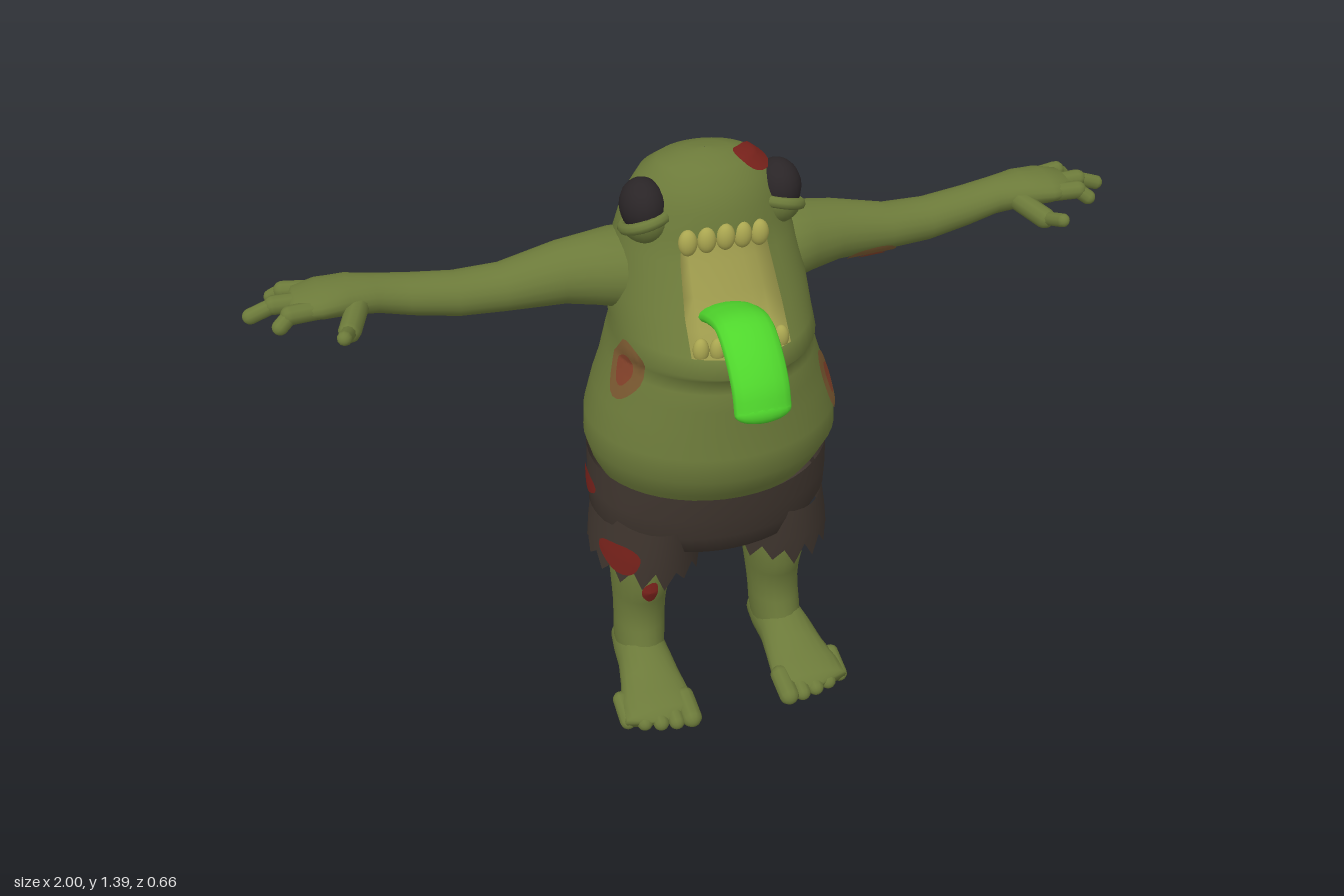
import * as THREE from 'three';

const mat = (name, color, side = THREE.FrontSide) => {
  const m = new THREE.MeshStandardMaterial({ color, side });
  m.name = name;
  return m;
};

// Surface through elliptical sections [t, centreA, centreB, radiusA, radiusB] along an axis
const AXES = {
  x: (t, a, b) => new THREE.Vector3(t, b, a),
  y: (t, a, b) => new THREE.Vector3(a, t, b),
  z: (t, a, b) => new THREE.Vector3(b, a, t),
};
function surface(axis, keys) {
  return (theta, t) => {
    let i = 0;
    while (i < keys.length - 2 && t >= keys[i + 1][0]) i++;
    const f = (t - keys[i][0]) / (keys[i + 1][0] - keys[i][0]);
    const [, ca, cb, ra, rb] = keys[i].map((k, n) => k + (keys[i + 1][n] - k) * f);
    return AXES[axis](t, ca + ra * Math.sin(theta), cb + rb * Math.cos(theta));
  };
}

function toGeometry(points, index) {
  const g = new THREE.BufferGeometry().setFromPoints(points);
  g.setIndex(index);
  g.computeVertexNormals();
  return g;
}

// Closed rings joined into a skin; shift moves points along the axis, skip leaves holes
function loft(P, rows, n, { shift = () => 0, skip = () => false } = {}) {
  const pts = [], idx = [];
  rows.forEach((t, r) => {
    for (let j = 0; j < n; j++) {
      const a = (j / n) * Math.PI * 2;
      pts.push(P(a, t + shift(r, a, j)));
    }
  });
  for (let r = 0; r < rows.length - 1; r++) {
    for (let j = 0; j < n; j++) {
      if (skip(((j + 0.5) / n) * Math.PI * 2, (rows[r] + rows[r + 1]) / 2)) continue;
      const a = r * n + j, b = r * n + ((j + 1) % n);
      idx.push(a, b, b + n, a, b + n, a + n);
    }
  }
  return toGeometry(pts, idx);
}

// Thin uneven spot lying on a surface
function spot(P, theta, t, dTheta, dt, lift) {
  const n = 24, rings = 6, pts = [], idx = [], e = 0.002;
  for (let r = 0; r <= rings; r++) {
    for (let j = 0; j < n; j++) {
      const a = (j / n) * Math.PI * 2, k = (r / rings) * (1 + 0.1 * Math.sin(3 * a + 1));
      const u = theta + dTheta * k * Math.cos(a), v = t + dt * k * Math.sin(a);
      const p = P(u, v);
      const normal = P(u + e, v).sub(p).cross(P(u, v + e).sub(p)).normalize();
      pts.push(p.addScaledVector(normal, lift));
      if (r < rings) {
        const q = r * n + j, w = r * n + ((j + 1) % n);
        idx.push(q, q + n, w + n, q, w + n, w);
      }
    }
  }
  return toGeometry(pts, idx);
}

export function createModel() {
  const skin = mat('skin', 0x6c7a3a), cloth = mat('shorts cloth', 0x40362f, THREE.DoubleSide);
  const eyeDark = mat('eye', 0x2a2527), tongueGreen = mat('tongue', 0x4fd62c);
  const mouthMat = mat('mouth lining', 0x9c994c), toothMat = mat('tooth', 0xaaa650);
  const blood = mat('blood', 0x78221b), sore = mat('sore', 0x7c5a31), soreCore = mat('sore core', 0x85422a);

  const model = new THREE.Group();
  model.name = 'figure';
  const add = (parent, name, geometry, material) => {
    const m = new THREE.Mesh(geometry, material);
    m.name = name;
    parent.add(m);
    return m;
  };
  const addSore = (parent, name, P, u, t, du, dt) => {
    add(parent, name, spot(P, u, t, du, dt, 0.004), sore);
    add(parent, name + 'Core', spot(P, u, t, du * 0.5, dt * 0.55, 0.007), soreCore);
  };
  const ball = (parent, name, material, p, s) => {
    const m = add(parent, name, new THREE.SphereGeometry(1, 18, 12), material);
    m.position.set(...p);
    m.scale.set(...s);
    return m;
  };
  const capsule = (parent, name, a, b, r) => {
    const A = new THREE.Vector3(...a), B = new THREE.Vector3(...b), d = B.clone().sub(A);
    const m = add(parent, name, new THREE.CapsuleGeometry(r, d.length(), 5, 10), skin);
    m.position.copy(A).add(B).multiplyScalar(0.5);
    m.quaternion.setFromUnitVectors(new THREE.Vector3(0, 1, 0), d.normalize());
  };

  // Body and head in one, given as [y, half width, front z, back z]
  const bodyKeys = [
    [0.62, 0.255, 0.14, -0.30], [0.66, 0.275, 0.17, -0.318], [0.72, 0.293, 0.208, -0.323], [0.78, 0.29, 0.208, -0.322],
    [0.85, 0.268, 0.198, -0.319], [0.9, 0.25, 0.203, -0.316], [0.94, 0.238, 0.195, -0.314], [0.97, 0.23, 0.19, -0.311],
    [0.998, 0.226, 0.23, -0.309], [1.03, 0.224, 0.2, -0.306], [1.1, 0.22, 0.145, -0.3], [1.2, 0.2, 0.08, -0.278],
    [1.25, 0.185, 0.062, -0.26], [1.3, 0.168, 0.052, -0.236], [1.345, 0.142, 0.03, -0.208], [1.375, 0.105, -0.005, -0.165],
    [1.39, 0.055, -0.04, -0.12], [1.394, 0.001, -0.079, -0.081],
  ].map(([y, w, f, b]) => [y, 0, (f + b) / 2, w, (f - b) / 2]);
  const body = surface('y', bodyKeys), mouthHalf = Math.PI / 6;
  add(model, 'body', loft(body, bodyKeys.map((k) => k[0]), 48, {
    skip: (a, t) => Math.cos(a) > Math.cos(mouthHalf) && t > 1.03 && t < 1.25,
  }), skin);
  addSore(model, 'leftFlankSore', body, 1.13, 0.85, 0.15, 0.075);
  addSore(model, 'leftBackSore', body, 2.12, 0.97, 0.21, 0.055);
  addSore(model, 'rightFlankSore', body, -1.2, 0.95, 0.22, 0.07);
  addSore(model, 'rightBackSore', body, -2.4, 1.0, 0.32, 0.055);
  add(model, 'headWound', spot(body, 1.2, 1.368, 0.6, 0.02, 0.006), blood);

  // Mouth pocket behind the opening
  const ys = [1.03, 1.04, 1.1, 1.16, 1.2, 1.24, 1.25], cols = 8, pts = [], idx = [];
  ys.forEach((y, r) => {
    for (let c = 0; c <= cols; c++) {
      const p = body((c / cols * 2 - 1) * mouthHalf, y);
      if (r > 0 && r < ys.length - 1 && c > 0 && c < cols) p.set(p.x * 1.15, p.y, p.z - 0.1);
      pts.push(p);
      if (r < ys.length - 1 && c < cols) {
        const a = r * (cols + 1) + c, b = a + cols + 1;
        idx.push(a, a + 1, b + 1, a, b + 1, b);
      }
    }
  });
  add(model, 'mouth', toGeometry(pts, idx), mouthMat);
  for (let i = -2; i <= 2; i++) {
    ball(model, 'upperTooth', toothMat, [i * 0.04, 1.248 - Math.abs(i) * 0.004, 0.058 - Math.abs(i) * 0.006], [0.021, 0.03, 0.018]);
  }
  for (const x of [-0.09, -0.055, 0.055, 0.09]) {
    ball(model, 'lowerTooth', toothMat, [x, 1.045, 0.185 - Math.abs(x) * 0.25], [0.018, 0.028, 0.016]);
  }

  // Tongue
  const tonguePath = new THREE.CatmullRomCurve3([[1.05, 0.03], [1.085, 0.11], [1.097, 0.18], [1.065, 0.24], [1.01, 0.287], [0.962, 0.304]]
    .map(([y, z]) => new THREE.Vector3(0, y, z)));
  add(model, 'tongue', new THREE.TubeGeometry(tonguePath, 24, 0.024, 16), tongueGreen).scale.x = 2.65;
  ball(model, 'tongueTip', tongueGreen, [0, 0.962, 0.304], [0.0636, 0.028, 0.024]);

  // Shorts seat
  const seatKeys = [[0.455, 0, -0.07, 0.05, 0.14], [0.47, 0, -0.075, 0.255, 0.2], [0.52, 0, -0.076, 0.285, 0.218],
    [0.58, 0, -0.077, 0.286, 0.236], [0.665, 0, -0.077, 0.284, 0.25]];
  const seat = surface('y', seatKeys);
  add(model, 'shortsSeat', loft(seat, seatKeys.map((k) => k[0]), 48, {
    shift: (r, a) => (r === 4 ? -0.018 * Math.cos(a) : 0),
  }), cloth);
  add(model, 'shortsSideStain', spot(seat, -1.6, 0.59, 0.2, 0.03, 0.004), blood);

  const arm = surface('x', [[0.1, -0.11, 1.12, 0.1, 0.09], [0.2, -0.11, 1.125, 0.1, 0.088], [0.25, -0.115, 1.126, 0.086, 0.08],
    [0.32, -0.123, 1.125, 0.074, 0.069], [0.45, -0.125, 1.111, 0.058, 0.053], [0.55, -0.127, 1.112, 0.055, 0.049],
    [0.65, -0.133, 1.125, 0.052, 0.045], [0.72, -0.133, 1.14, 0.05, 0.041], [0.78, -0.125, 1.153, 0.064, 0.039],
    [0.84, -0.122, 1.155, 0.072, 0.034], [0.89, -0.122, 1.152, 0.062, 0.026], [0.91, -0.122, 1.15, 0.001, 0.001]]);
  const armRows = [0.1, 0.2, 0.25, 0.32, 0.45, 0.55, 0.65, 0.72, 0.78, 0.84, 0.89, 0.91];
  const legKeys = [[0.08, 0.18, -0.075, 0.058, 0.09], [0.12, 0.178, -0.078, 0.062, 0.083], [0.16, 0.176, -0.082, 0.062, 0.076],
    [0.2, 0.174, -0.085, 0.063, 0.075], [0.25, 0.172, -0.085, 0.067, 0.083], [0.3, 0.17, -0.08, 0.072, 0.099],
    [0.35, 0.167, -0.09, 0.076, 0.104], [0.47, 0.165, -0.09, 0.076, 0.11]];
  const leg = surface('y', legKeys);
  const footKeys = [[-0.172, 0.06, 0.18, 0.001, 0.001], [-0.165, 0.06, 0.18, 0.035, 0.035], [-0.14, 0.06, 0.181, 0.053, 0.053],
    [-0.08, 0.068, 0.182, 0.064, 0.062], [-0.01, 0.068, 0.185, 0.06, 0.066], [0.05, 0.053, 0.188, 0.044, 0.075],
    [0.11, 0.042, 0.193, 0.034, 0.087], [0.16, 0.034, 0.195, 0.026, 0.089], [0.18, 0.03, 0.195, 0.001, 0.001]];
  const foot = surface('z', footKeys);
  const shortsLeg = surface('y', [[0.36, 0.162, -0.075, 0.134, 0.172], [0.45, 0.158, -0.077, 0.127, 0.19], [0.54, 0.15, -0.077, 0.12, 0.2]]);

  // Paired parts, modelled on the left and mirrored for the right
  for (const side of [1, -1]) {
    const half = new THREE.Group();
    half.name = side > 0 ? 'leftSide' : 'rightSide';
    half.scale.x = side;
    model.add(half);

    // Eye with a sagging lower lid
    ball(half, 'eye', eyeDark, [0.152, 1.3, -0.04], [0.05, 0.06, 0.062]);
    const lid = new THREE.Group();
    lid.name = 'eyelid';
    lid.position.set(0.152, 1.282, -0.04);
    lid.rotation.set(-0.3, 0, -0.25);
    half.add(lid);
    add(lid, 'eyeBag', new THREE.SphereGeometry(0.067, 20, 8, 0, Math.PI * 2, Math.PI * 0.57, Math.PI * 0.43), skin).scale.x = 0.85;
    const rim = add(lid, 'lidRim', new THREE.TorusGeometry(0.061, 0.013, 8, 24), skin);
    rim.rotation.x = Math.PI / 2;
    rim.scale.x = 0.85;
    rim.position.y = -0.016;

    // Arm, fingers and thumb
    add(half, 'arm', loft(arm, armRows, 20), skin);
    for (const [z0, z1, x1] of [[-0.165, -0.192, 0.93], [-0.122, -0.122, 0.983], [-0.08, -0.057, 0.93]]) {
      const xm = (0.85 + x1) / 2 + 0.015, zm = (z0 + z1) / 2;
      capsule(half, 'finger', [0.83, 1.152, z0], [xm, 1.155, zm], 0.021);
      capsule(half, 'fingertip', [xm, 1.155, zm], [x1, 1.137, z1], 0.017);
    }
    capsule(half, 'thumb', [0.765, 1.142, -0.085], [0.795, 1.128, -0.01], 0.024);
    capsule(half, 'thumbTip', [0.795, 1.128, -0.01], [0.812, 1.145, 0.043], 0.016);

    // Leg, foot and toes
    add(half, 'leg', loft(leg, legKeys.map((k) => k[0]), 20), skin);
    add(half, 'foot', loft(foot, footKeys.map((k) => k[0]), 20), skin);
    for (let i = 0; i < 5; i++) {
      const x = 0.125 + i * 0.037, r = i === 0 ? 0.025 : 0.02, z = 0.182 - i * i * 0.0025;
      capsule(half, 'toe', [x, 0.042, z - 0.06], [x, r + 0.004, z], r);
    }

    // Ragged trouser leg
    add(half, 'shortsLeg', loft(shortsLeg, [0.37, 0.45, 0.54], 32, {
      shift: (r, a, j) => (r === 0 ? (j % 2) * 0.035 + 0.025 * Math.abs(Math.sin(j * 1.7)) - 0.008 : 0),
    }), cloth);

    if (side > 0) {
      addSore(half, 'armSore', arm, 2.5, 0.4, 0.6, 0.06);
      add(half, 'calfWound', spot(leg, Math.PI - 0.25, 0.285, 0.8, 0.035, 0.005), blood);
    } else {
      add(half, 'shinWound', spot(leg, 0.05, 0.3, 0.25, 0.03, 0.005), blood);
      add(half, 'hemStain', spot(shortsLeg, 0.85, 0.448, 0.4, 0.04, 0.005), blood);
    }
  }
  return model;
}
